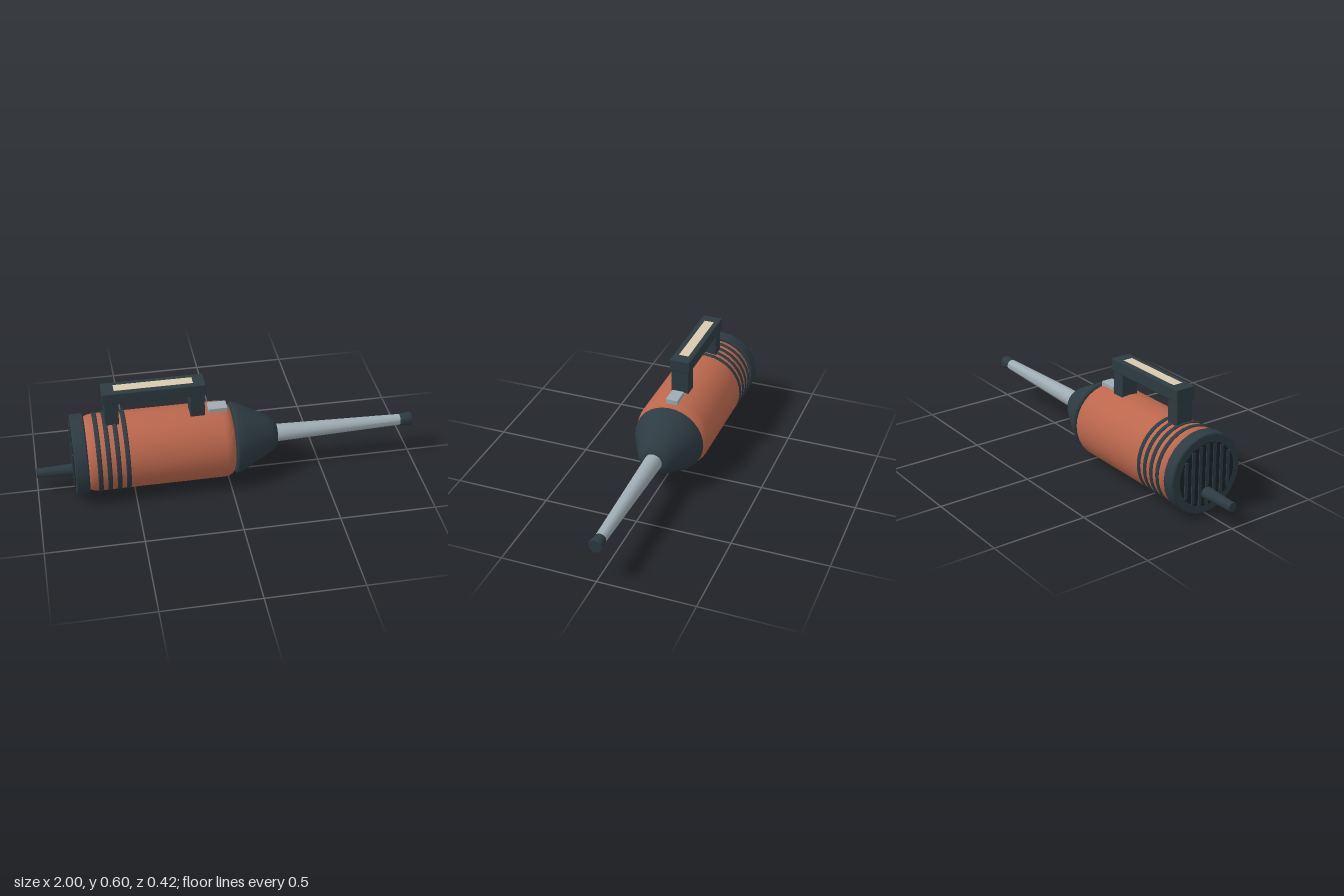
import * as THREE from 'three';
import { toCreasedNormals } from 'three/addons/utils/BufferGeometryUtils.js';
import { RoundedBoxGeometry } from 'three/addons/geometries/RoundedBoxGeometry.js';

const AXIS_Y = 0.211;

const material = (name, color) => {
  const m = new THREE.MeshStandardMaterial({ color });
  m.name = name;
  return m;
};

export function createModel() {
  const orange = material('terracotta shell', 0xbb674d);
  const dark = material('dark slate plastic', 0x2d3b42);
  const black = material('vent black', 0x1b2427);
  const grey = material('light grey', 0x9eacb3);
  const cream = material('cream grip', 0xd9cbaf);

  const model = new THREE.Group();
  model.name = 'handheldVacuum';

  const add = (name, geometry, mat, x = 0, y = 0, z = 0) => {
    const mesh = new THREE.Mesh(geometry, mat);
    mesh.name = name;
    mesh.position.set(x, y, z);
    model.add(mesh);
    return mesh;
  };

  // Turned part along x: profile is a list of [x, radius], left to right
  const turned = (name, profile, mat, y = AXIS_Y, sides = 24) => {
    const points = profile.map(([x, r]) => new THREE.Vector2(r, x));
    const geometry = new THREE.LatheGeometry(points, sides);
    geometry.rotateZ(-Math.PI / 2);
    return add(name, toCreasedNormals(geometry, 0.6), mat, 0, y);
  };

  const box = (name, mat, x0, x1, y0, y1, width, bevel = 0.005) =>
    add(name, new RoundedBoxGeometry(x1 - x0, y1 - y0, width, 2, bevel), mat,
      (x0 + x1) / 2, (y0 + y1) / 2, 0);

  // Motor housing with rounded ends
  turned('body', [
    [-0.745, 0], [-0.745, 0.175], [-0.735, 0.188], [-0.715, 0.197], [-0.69, 0.201],
    [-0.03, 0.201], [-0.008, 0.197], [0.01, 0.187], [0.021, 0.172], [0.025, 0.15], [0.025, 0],
  ], orange, AXIS_Y, 32);

  // Raised bands near the rear
  for (let i = 0; i < 4; i++) {
    const x = -0.68 + i * 0.048;
    turned('band', [
      [x - 0.012, 0.19], [x - 0.012, 0.203], [x - 0.008, 0.206],
      [x + 0.008, 0.206], [x + 0.012, 0.203], [x + 0.012, 0.19],
    ], dark, AXIS_Y, 32);
  }

  // Rear cap with vent disc and upright slats
  turned('rearCap', [
    [-0.805, 0], [-0.805, 0.203], [-0.799, 0.209], [-0.741, 0.209], [-0.735, 0.203], [-0.735, 0],
  ], dark);
  turned('ventDisc', [[-0.808, 0], [-0.808, 0.165], [-0.8, 0.165]], black);
  for (let i = -3; i <= 3; i++) {
    const z = i * 0.043;
    const height = 2 * Math.sqrt(0.16 ** 2 - z * z);
    add('ventSlat', new THREE.BoxGeometry(0.012, height, 0.018), dark, -0.807, AXIS_Y, z);
  }

  // Power cord stub
  turned('cord', [[-1, 0], [-1, 0.024], [-0.8, 0.031]], dark, 0.115, 16);

  // Conical nose
  turned('nose', [
    [0.022, 0], [0.028, 0.18], [0.035, 0.188], [0.05, 0.186], [0.08, 0.174],
    [0.13, 0.148], [0.22, 0.101], [0.25, 0.08], [0.265, 0.055], [0.267, 0],
  ], dark, AXIS_Y, 32);

  // Tapered suction pipe and its flared tip
  turned('pipe', [[0.255, 0.047], [0.945, 0.029], [0.945, 0]], grey);
  turned('pipeTip', [[0.938, 0], [0.938, 0.03], [0.995, 0.036], [1, 0.034], [1, 0]], dark);

  // Carrying handle
  box('rearHandlePost', dark, -0.632, -0.56, 0.37, 0.54, 0.094);
  box('frontHandlePost', dark, -0.195, -0.12, 0.37, 0.54, 0.094);
  box('handleBar', dark, -0.638, -0.114, 0.531, 0.597, 0.108);
  add('handleGrip', new THREE.BoxGeometry(0.4, 0.004, 0.052), cream, -0.376, 0.596, 0);

  // Power switch
  box('switch', grey, -0.098, 0, 0.395, 0.43, 0.066, 0.004);

  return model;
}
